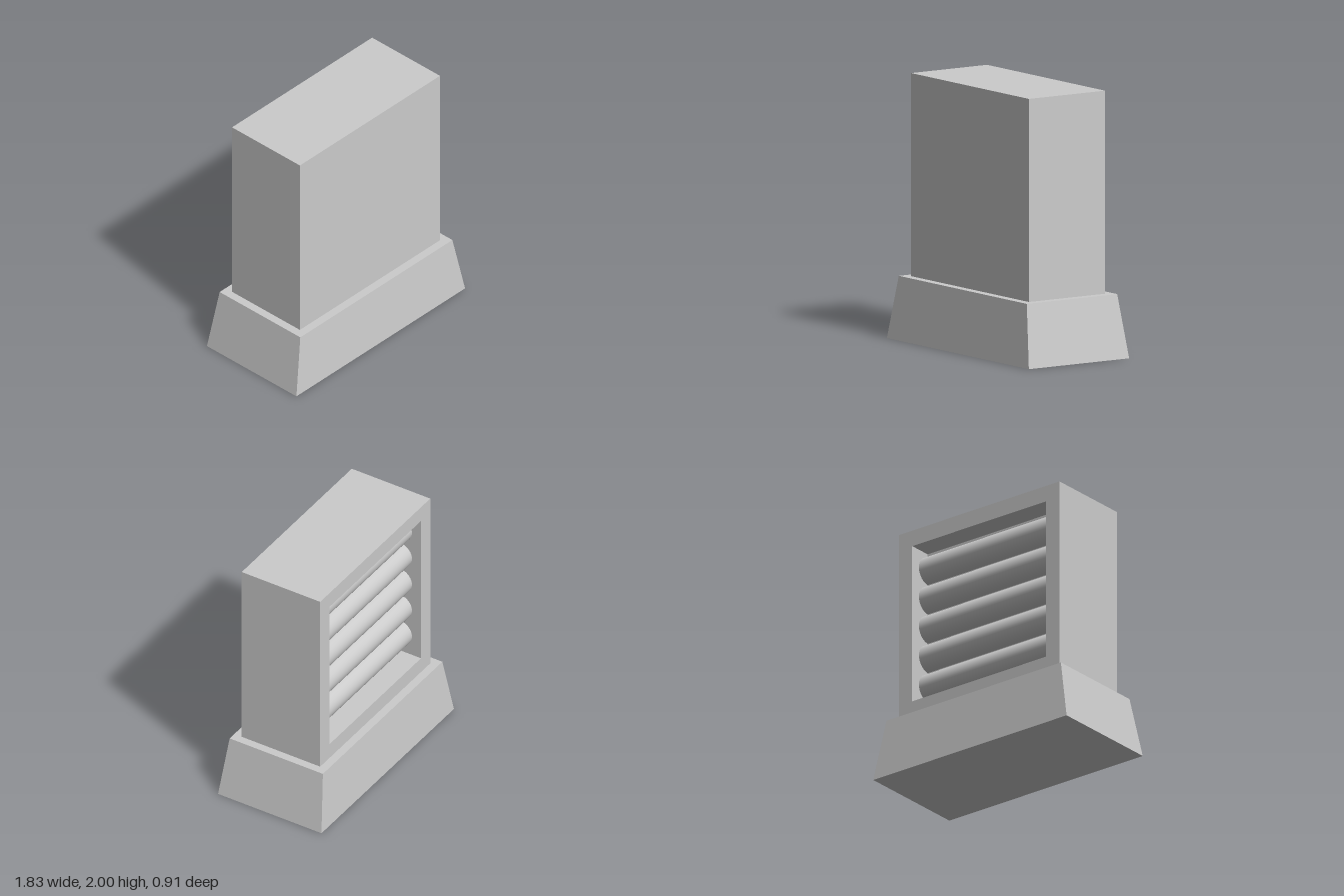
import * as THREE from 'three';

export function createModel() {
  const model = new THREE.Group();
  const material = new THREE.MeshStandardMaterial({ color: 0xcccccc });
  const add = (name, geometry, x = 0, y = 0, z = 0) => {
    const mesh = new THREE.Mesh(geometry, material);
    mesh.name = name;
    mesh.position.set(x, y, z);
    model.add(mesh);
    return mesh;
  };

  const baseH = 0.475, top = 2, halfW = 0.76, halfD = 0.345;
  const border = 0.127, recess = 0.185;

  // Plinth: a box whose upper corners are drawn inward
  const plinth = new THREE.BoxGeometry(1.83, baseH, 0.91);
  const p = plinth.attributes.position;
  for (let i = 0; i < p.count; i++) {
    if (p.getY(i) > 0) {
      p.setX(i, Math.sign(p.getX(i)) * 0.825);
      p.setZ(i, Math.sign(p.getZ(i)) * 0.41);
    }
  }
  plinth.computeVertexNormals();
  add('plinth', plinth, 0, baseH / 2);

  // Solid front part of the cabinet; its rear face is the recess floor
  const panelZ = -halfD + recess;
  const h = top - baseH, midY = (top + baseH) / 2;
  add('cabinet', new THREE.BoxGeometry(halfW * 2, h, halfD - panelZ), 0, midY, (halfD + panelZ) / 2);

  // Rear frame around the rectangular opening
  const rect = (path, w, hh) =>
    path.moveTo(-w, -hh).lineTo(w, -hh).lineTo(w, hh).lineTo(-w, hh).closePath();
  const frame = rect(new THREE.Shape(), halfW, h / 2);
  frame.holes.push(rect(new THREE.Path(), halfW - border, h / 2 - border));
  add('rearFrame', new THREE.ExtrudeGeometry(frame, { depth: recess, bevelEnabled: false }), 0, midY, -halfD);

  // Five horizontal rolls, half sunk into the recess floor
  const roll = new THREE.CylinderGeometry(0.109, 0.109, (halfW - border) * 2, 48);
  roll.rotateZ(Math.PI / 2);
  for (let i = 0; i < 5; i++) add('roll' + (i + 1), roll, 0, 1.73 - i * 0.24, -0.156);

  return model;
}
